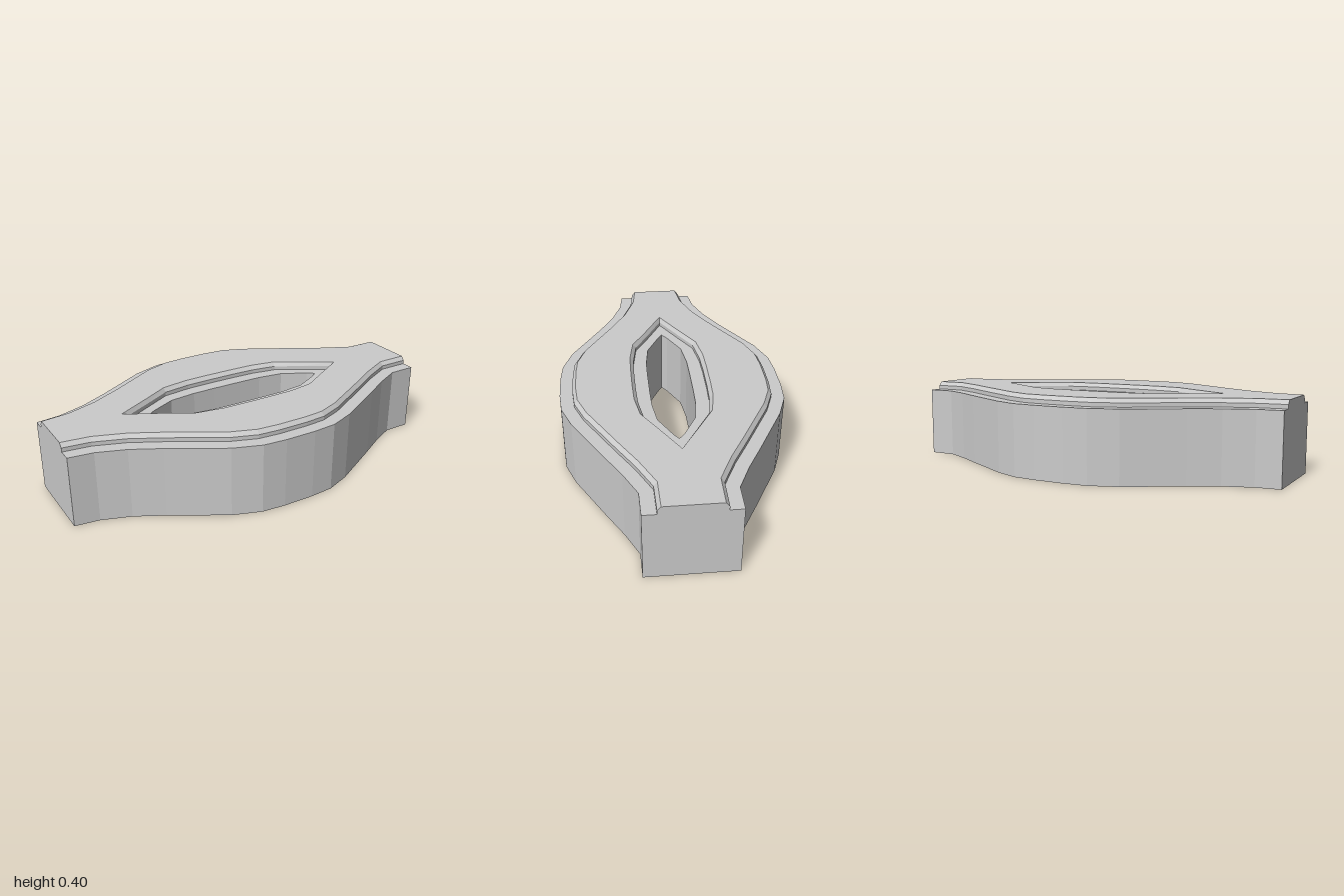
import * as THREE from 'three';

// Front edge of the body as [x, z]; the back edge mirrors it with a slight flare
const EDGE = [[-1, 0.205], [-0.88, 0.22], [-0.74, 0.27], [-0.6, 0.345], [-0.34, 0.5], [-0.2, 0.55], [-0.08, 0.56],
  [0.08, 0.56], [0.2, 0.55], [0.33, 0.5], [0.6, 0.35], [0.73, 0.275], [0.86, 0.212], [1, 0.21]];

// Inset the edge by a distance, keeping the ends on the flat end faces
function insetEdge(d) {
  const last = EDGE.length - 1;
  const normal = (i) => {
    const [a, b] = [EDGE[i], EDGE[i + 1]];
    return new THREE.Vector2(a[1] - b[1], b[0] - a[0]).normalize();
  };
  return EDGE.map(([x, z], i) => {
    const n0 = normal(Math.max(i - 1, 0));
    const n1 = normal(Math.min(i, last - 1));
    const m = n0.clone().add(n1).normalize();
    const k = d / m.dot(n0);
    const end = i === 0 || i === last;
    return [end ? x : x - m.x * k, end ? z - d : z - m.y * k];
  });
}

// Outer ring, counter-clockwise seen from above; points are (x, -z)
function outerRing(d) {
  const front = insetEdge(d);
  const back = front.map(([x, z]) => new THREE.Vector2(x, z + 0.005 + 0.005 * x)).reverse();
  return [...front.map(([x, z]) => new THREE.Vector2(x, -z)), ...back];
}

// Almond-shaped opening, clockwise seen from above
function holeRing(left, right, shoulder, z1, z2, z3) {
  const half = [[-0.47, shoulder], [-0.34, z1], [-0.2, z2], [-0.08, z3], [0.08, z3], [0.2, z2], [0.33, z1], [0.455, shoulder]];
  return [
    new THREE.Vector2(left, 0),
    ...half.map(([x, z]) => new THREE.Vector2(x, z)),
    new THREE.Vector2(right, 0),
    ...half.reverse().map(([x, z]) => new THREE.Vector2(x, 0.004 - z)),
  ];
}

// Skin a closed band between two rings at given heights
function band(a, ya, b, yb) {
  const pos = [];
  for (let i = 0; i < a.length; i++) {
    const j = (i + 1) % a.length;
    const a0 = [a[i].x, ya, -a[i].y], a1 = [a[j].x, ya, -a[j].y];
    const b0 = [b[i].x, yb, -b[i].y], b1 = [b[j].x, yb, -b[j].y];
    pos.push(...a0, ...a1, ...b1, ...a0, ...b1, ...b0);
  }
  const g = new THREE.BufferGeometry();
  g.setAttribute('position', new THREE.Float32BufferAttribute(pos, 3));
  g.computeVertexNormals();
  return g;
}

// Flat face with the opening cut out, facing up or down
function cap(outer, hole, y, up) {
  const shape = new THREE.Shape(outer);
  shape.holes.push(new THREE.Path(hole));
  const g = new THREE.ShapeGeometry(shape);
  if (!up) {
    const idx = g.index.array;
    for (let i = 0; i < idx.length; i += 3) [idx[i], idx[i + 1]] = [idx[i + 1], idx[i]];
  }
  g.rotateX(-Math.PI / 2).translate(0, y, 0);
  g.computeVertexNormals();
  return g;
}

export function createModel() {
  const group = new THREE.Group();
  const material = new THREE.MeshStandardMaterial({ color: 0xcccccc, flatShading: true });
  const add = (name, geometry) => {
    const mesh = new THREE.Mesh(geometry, material);
    mesh.name = name;
    group.add(mesh);
  };

  // Matching rings for the body, the raised slab and the chamfered top
  const body = [outerRing(0), holeRing(-0.51, 0.49, 0.028, 0.093, 0.11, 0.112)];
  const slab = [outerRing(0.065), holeRing(-0.625, 0.6, 0.085, 0.158, 0.178, 0.182)];
  const top = [outerRing(0.082), holeRing(-0.65, 0.62, 0.1, 0.175, 0.197, 0.2)];
  const [h0, h1, h2] = [0.355, 0.375, 0.395];

  ['outer', 'opening'].forEach((side, i) => {
    add(side + 'BodyWall', band(body[i], 0, body[i], h0));
    add(side + 'Ledge', band(body[i], h0, slab[i], h0));
    add(side + 'SlabWall', band(slab[i], h0, slab[i], h1));
    add(side + 'Chamfer', band(slab[i], h1, top[i], h2));
  });
  add('topFace', cap(...top, h2, true));
  add('bottomFace', cap(...body, 0, false));
  return group;
}
